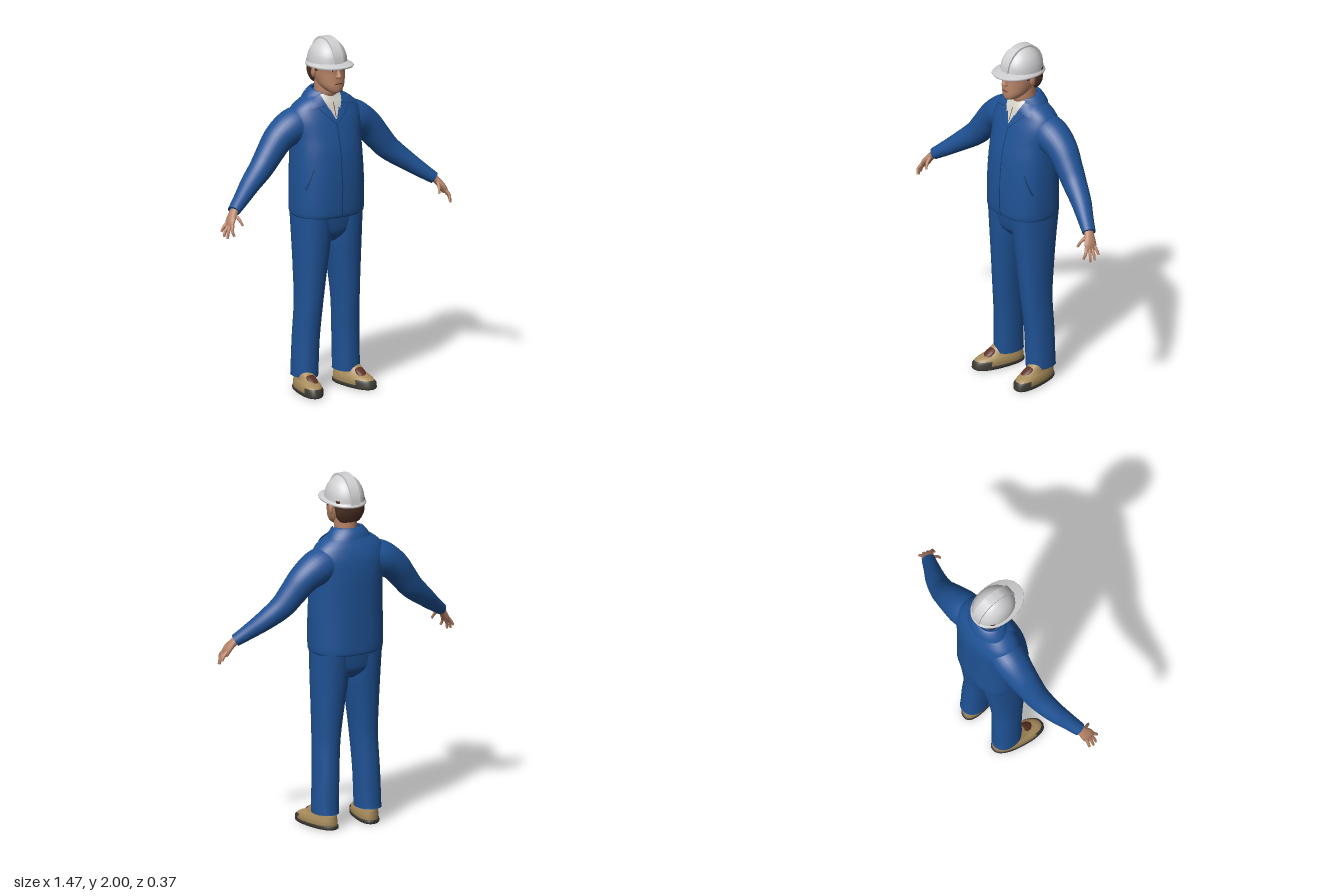
import * as THREE from 'three';
import { toCreasedNormals } from 'three/addons/utils/BufferGeometryUtils.js';

const paint = (name, color, side = THREE.FrontSide) => {
  const m = new THREE.MeshStandardMaterial({ color, side });
  m.name = name;
  return m;
};

// Catmull-Rom refinement of number rows
function smooth(rows, k = 5) {
  const out = [], n = rows.length;
  for (let i = 0; i < n - 1; i++) {
    const a = rows[Math.max(i - 1, 0)], b = rows[i], c = rows[i + 1], d = rows[Math.min(i + 2, n - 1)];
    for (let s = 0; s < k; s++) {
      const t = s / k;
      out.push(b.map((v, j) => v + 0.5 * t * (c[j] - a[j] + t * (2 * a[j] - 5 * v + 4 * c[j] - d[j] + t * (3 * (v - c[j]) + d[j] - a[j])))));
    }
  }
  out.push(rows[n - 1]);
  return out;
}

const pow = (v, e) => Math.sign(v) * Math.abs(v) ** e;

// Level ring from a row [y, halfWidth, zFront, zBack, squareness, centreX]
function levelRing([y, rx, zf, zb, n = 2, cx = 0], seg = 32, a0 = 0, a1 = Math.PI * 2) {
  const count = a1 - a0 < 6.28 ? seg + 1 : seg;
  return Array.from({ length: count }, (_, j) => {
    const a = a0 + (a1 - a0) * j / seg;
    return new THREE.Vector3(cx + rx * pow(Math.cos(a), 2 / n), y, (zf + zb) / 2 + (zf - zb) / 2 * pow(Math.sin(a), 2 / n));
  });
}

// Surface through rings of points, with optional end caps
function skin(rings, closed = true, caps = true) {
  const pos = [], idx = [], m = rings[0].length;
  const put = (p) => pos.push(p.x, p.y, p.z) / 3 - 1;
  rings.forEach((r) => r.forEach(put));
  for (let i = 0; i < rings.length - 1; i++)
    for (let j = 0; j < (closed ? m : m - 1); j++) {
      const k = (j + 1) % m, a = i * m + j, c = i * m + k;
      idx.push(a, a + m, c, c, a + m, c + m);
    }
  if (caps) [rings[0], rings[rings.length - 1]].forEach((r, end) => {
    const mid = put(r.reduce((s, p) => s.add(p), new THREE.Vector3()).divideScalar(m));
    const ids = r.map(put);
    ids.forEach((v, j) => { const w = ids[(j + 1) % m]; idx.push(mid, end ? w : v, end ? v : w); });
  });
  const g = new THREE.BufferGeometry();
  g.setAttribute('position', new THREE.Float32BufferAttribute(pos, 3));
  g.setIndex(idx);
  g.computeVertexNormals();
  return g;
}

const stack = (rows, seg = 32) => skin(rows.map((r) => levelRing(r, seg)));

// Limb along rows [x, y, z, thickness, depth]
function limb(rows, seg = 20, k = 5) {
  const d = smooth(rows, k), at = (i) => new THREE.Vector3(...d[Math.min(Math.max(i, 0), d.length - 1)].slice(0, 3));
  return skin(d.map((r, i) => {
    const t = at(i + 1).sub(at(i - 1)).normalize();
    const e2 = new THREE.Vector3(0, 0, 1).addScaledVector(t, -t.z).normalize();
    const e1 = t.clone().cross(e2);
    return Array.from({ length: seg }, (_, j) => {
      const a = j / seg * Math.PI * 2;
      return at(i).addScaledVector(e1, Math.cos(a) * r[3]).addScaledVector(e2, Math.sin(a) * r[4]);
    });
  }));
}

// Front surface height of a stack at (x, y)
function frontZ(rows, x, y) {
  let i = 0;
  while (i < rows.length - 2 && rows[i + 1][0] < y) i++;
  const t = THREE.MathUtils.clamp((y - rows[i][0]) / (rows[i + 1][0] - rows[i][0]), 0, 1);
  const [, rx, zf, zb, n] = rows[i].map((v, j) => v + (rows[i + 1][j] - v) * t);
  const q = Math.min(Math.abs(x / rx), 1);
  return (zf + zb) / 2 + (zf - zb) / 2 * (1 - q ** n) ** (1 / n);
}

// Thin patch lying on a stack; corners: bottom left, bottom right, top right, top left
function patch(rows, [bl, br, tr, tl], lift = 0.004, k = 8) {
  const mix = (a, b, t) => a + (b - a) * t, rings = [];
  for (let i = 0; i <= k; i++) rings.push(Array.from({ length: k + 1 }, (_, j) => {
    const u = 1 - j / k, v = i / k;
    const [x, y] = [0, 1].map((c) => mix(mix(bl[c], br[c], u), mix(tl[c], tr[c], u), v));
    return new THREE.Vector3(x, y, frontZ(rows, x, y) + lift);
  }));
  return skin(rings, false, false);
}

// Move vertices by a rule
function bend(g, rule) {
  const p = g.attributes.position, v = new THREE.Vector3();
  for (let i = 0; i < p.count; i++) { rule(v.fromBufferAttribute(p, i)); p.setXYZ(i, v.x, v.y, v.z); }
  g.computeVertexNormals();
  return g;
}

function mirrored(g) {
  const c = g.clone().scale(-1, 1, 1), ix = c.index.array;
  for (let i = 0; i < ix.length; i += 3) [ix[i], ix[i + 1]] = [ix[i + 1], ix[i]];
  c.computeVertexNormals();
  return c;
}

export function createModel() {
  const model = new THREE.Group();
  model.name = 'worker';
  const blue = paint('workwear blue', 0x1f5295, THREE.DoubleSide), seam = paint('seam navy', 0x143a6c);
  const flesh = paint('skin', 0xb88468), white = paint('helmet grey white', 0xcfcfd1), dark = paint('helmet liner', 0x2b2a28);
  const tan = paint('shoe tan', 0xa88c5c), rubber = paint('sole', 0x3d3a33), hair = paint('hair brown', 0x4c3024);
  const cloth = paint('shirt', 0xd6d4ca), lace = paint('lace brown', 0x5e3022);
  const add = (name, g, mat) => { const m = new THREE.Mesh(g, mat); m.name = name; model.add(m); };
  const pair = (name, g, mat) => { add(name + 'Left', g, mat); add(name + 'Right', mirrored(g), mat); };

  // Jacket body
  const torso = smooth([
    [1.0, .198, .135, -.178, 2.5], [1.03, .207, .147, -.186, 2.5], [1.2, .209, .147, -.186, 2.4], [1.35, .205, .134, -.187, 2.4],
    [1.45, .205, .112, -.187, 2.4], [1.54, .215, .085, -.178, 2.4], [1.6, .2, .062, -.16, 2.3], [1.64, .16, .048, -.14, 2.2],
    [1.67, .11, .034, -.125, 2], [1.695, .07, .024, -.105, 2]]);
  add('jacket', stack(torso, 48), blue);
  add('jacketPlacket', patch(torso, [[-.003, 1.005], [.003, 1.005], [.003, 1.55], [-.003, 1.55]], .003, 16), seam);
  pair('pocketSeam', patch(torso, [[.186, 1.17], [.192, 1.17], [.155, 1.29], [.15, 1.29]], .003), seam);

  // Shirt in the neckline, jacket lapels and collar
  add('shirtFront', patch(torso, [[-.004, 1.55], [.004, 1.55], [.062, 1.685], [-.062, 1.685]], .005, 12), cloth);
  pair('shirtCollar', patch(torso, [[.004, 1.635], [.036, 1.605], [.068, 1.685], [.035, 1.68]], .012), cloth);
  add('shirtButtonLine', patch(torso, [[-.002, 1.56], [.002, 1.56], [.002, 1.64], [-.002, 1.64]], .008), lace);
  pair('lapel', patch(torso, [[-.002, 1.535], [.012, 1.535], [.092, 1.618], [.042, 1.632]], .012), blue);
  pair('lapelSeam', patch(torso, [[.008, 1.53], [.014, 1.53], [.097, 1.615], [.09, 1.615]], .009), seam);
  pair('collarPoint', patch(torso, [[.05, 1.632], [.135, 1.617], [.1, 1.685], [.066, 1.695]], .013), blue);
  pair('collarSeam', patch(torso, [[.055, 1.627], [.139, 1.611], [.139, 1.618], [.055, 1.634]], .01), seam);
  const collarRows = smooth([[1.655, .128, .045, -.15, 2.1], [1.685, .11, .045, -.139, 2], [1.712, .084, .045, -.118, 2], [1.705, .074, .04, -.106, 2]]);
  add('collar', bend(skin(collarRows.map((r) => levelRing(r, 36, Math.PI / 2 + .75, Math.PI * 2.5 - .75)), false, false),
    (v) => { v.y -= Math.max(v.z + .06, 0) * .2; }), blue);

  // Sleeves
  pair('sleeve', limb([
    [.09, 1.535, -.055, .09, .09], [.19, 1.505, -.06, .099, .1], [.28, 1.45, -.06, .086, .088], [.35, 1.37, -.05, .076, .076],
    [.41, 1.3, -.038, .068, .068], [.5, 1.227, -.008, .055, .058], [.58, 1.165, .03, .043, .046], [.648, 1.115, .062, .033, .038]], 28), blue);

  // Hands
  pair('palm', limb([[.632, 1.127, .055, .023, .026], [.66, 1.1, .07, .02, .03], [.685, 1.065, .085, .018, .038], [.698, 1.035, .093, .012, .034]], 16), flesh);
  [[[.688, 1.05, .117], [.702, 1.025, .134], [.695, .995, .145]], [[.697, 1.045, .102], [.715, 1.01, .112], [.72, .978, .116]],
    [[.698, 1.045, .086], [.721, 1.015, .09], [.729, .985, .092]], [[.696, 1.055, .068], [.718, 1.03, .065], [.729, 1.008, .063]],
    [[.655, 1.1, .085], [.645, 1.075, .118], [.634, 1.045, .135]]].forEach((p, i) =>
    pair(i < 4 ? 'finger' + (i + 1) : 'thumb', limb(p.map((q, j) => [...q, .0105 - .002 * j, .0105 - .002 * j]), 10, 3), flesh));

  // Trousers
  pair('trouserLeg', stack(smooth([
    [.085, .069, .055, -.122, 2.2, .134], [.11, .07, .056, -.118, 2.2, .134], [.3, .07, .061, -.115, 2.2, .128], [.5, .072, .08, -.11, 2.2, .118],
    [.7, .085, .096, -.127, 2.2, .108], [.86, .097, .11, -.146, 2.2, .1], [1.02, .098, .12, -.165, 2.3, .1]])), blue);
  add('trouserSeat', stack(smooth([[.85, .05, .05, -.09, 2.4], [.9, .16, .098, -.143, 2.4], [.96, .194, .113, -.158, 2.5], [1.02, .197, .12, -.166, 2.5]])), blue);

  // Shoes, toes turned slightly outward
  const turnOut = (g) => bend(g, (v) => { v.x += .145 + .17 * v.z; });
  pair('shoeUpper', turnOut(stack(smooth([
    [.018, .061, .178, -.117, 2.4], [.04, .062, .177, -.118, 2.4], [.06, .058, .156, -.118, 2.3], [.08, .051, .108, -.117, 2.2], [.12, .046, .05, -.108, 2]]))), tan);
  pair('shoeSole', turnOut(stack([[0, .058, .178, -.118, 2.4], [.006, .065, .185, -.124, 2.4], [.02, .065, .185, -.124, 2.4], [.022, .06, .178, -.117, 2.4]])), rubber);
  pair('toeBumper', turnOut(skin([[.01, .066, .186, -.12, 2.4], [.036, .066, .184, -.12, 2.4], [.05, .06, .172, -.117, 2.4]]
    .map((r) => levelRing(r, 20, .5, Math.PI - .5)), false, false)), rubber);
  pair('shoeTongue', new THREE.SphereGeometry(1, 16, 10).scale(.03, .014, .05).rotateX(.5).translate(.157, .085, .083), lace);

  // Neck and head
  add('neck', stack(smooth([[1.62, .07, .02, -.1, 2], [1.67, .063, .038, -.096, 2], [1.71, .061, .048, -.096, 2], [1.8, .062, .04, -.1, 2]])), flesh);
  const head = smooth([
    [1.703, .022, .098, .04, 2], [1.712, .042, .108, .0, 2.1], [1.74, .065, .111, -.045, 2.2], [1.78, .078, .109, -.085, 2.2],
    [1.82, .085, .107, -.104, 2.2], [1.86, .088, .11, -.11, 2.2], [1.91, .08, .09, -.1, 2]]);
  add('head', stack(head), flesh);
  add('nose', skin(smooth([[1.788, .012, .115, .09, 2], [1.796, .018, .132, .09, 2], [1.806, .014, .132, .09, 2], [1.825, .01, .122, .09, 2], [1.848, .009, .112, .09, 2]], 3)
    .map((r) => levelRing(r, 14))), flesh);
  pair('ear', new THREE.SphereGeometry(1, 14, 10).scale(.01, .032, .018).rotateX(.2).translate(.088, 1.812, -.012), flesh);
  pair('eye', patch(head, [[.022, 1.829], [.046, 1.83], [.042, 1.837], [.026, 1.837]], .002), cloth);
  pair('iris', patch(head, [[.031, 1.829], [.038, 1.829], [.038, 1.837], [.031, 1.837]], .003), hair);
  pair('eyebrow', patch(head, [[.016, 1.846], [.054, 1.848], [.05, 1.854], [.016, 1.851]], .003), hair);
  add('mouth', patch(head, [[-.024, 1.754], [.024, 1.754], [.018, 1.76], [-.018, 1.76]], .003), lace);
  add('hair', stack(smooth([[1.742, .058, -.04, -.1, 2.2], [1.765, .076, -.03, -.108, 2.3], [1.8, .087, -.03, -.117, 2.3], [1.87, .092, -.01, -.12, 2.3]])), hair);
  pair('sideburn', new THREE.BoxGeometry(.008, .045, .024).translate(.086, 1.845, .012), hair);

  // Hard hat: dome, raised centre band, brim and dark underside
  const tilt = (g) => bend(g, (v) => { v.y += v.z * .06 * Math.min(1, (2 - v.y) / .1); });
  const domeRows = smooth([
    [1.852, .105, .115, -.139, 2.1], [1.9, .1, .107, -.133, 2.1], [1.94, .086, .088, -.114, 2], [1.97, .062, .06, -.084, 2], [1.988, .036, .03, -.052, 2], [1.994, .004, -.006, -.014, 2]]);
  add('helmetDome', tilt(stack(domeRows, 40)), white);
  const band = new THREE.Shape([...domeRows.map((r) => new THREE.Vector2(r[2] + .004, r[0] + .006)),
    ...domeRows.slice().reverse().map((r) => new THREE.Vector2(r[3] - .004, r[0] + .006))]);
  const bandGeo = new THREE.ExtrudeGeometry(band, { depth: .056, bevelEnabled: false }).rotateY(-Math.PI / 2).translate(.028, 0, 0);
  add('helmetBand', toCreasedNormals(tilt(bandGeo), .7), white);
  add('helmetBrim', tilt(skin([[1.843, .115, .171, -.146, 2.15], [1.849, .118, .175, -.149, 2.15], [1.854, .116, .172, -.147, 2.15], [1.868, .1, .107, -.134, 2.1]]
    .map((r) => levelRing(r, 40)), true, false)), white);
  add('helmetUnderside', tilt(skin([[1.872, .06, .08, -.09, 2.1], [1.86, .1, .115, -.132, 2.1], [1.843, .115, .171, -.146, 2.15]]
    .map((r) => levelRing(r, 40)), true, false)), dark);
  return model;
}
